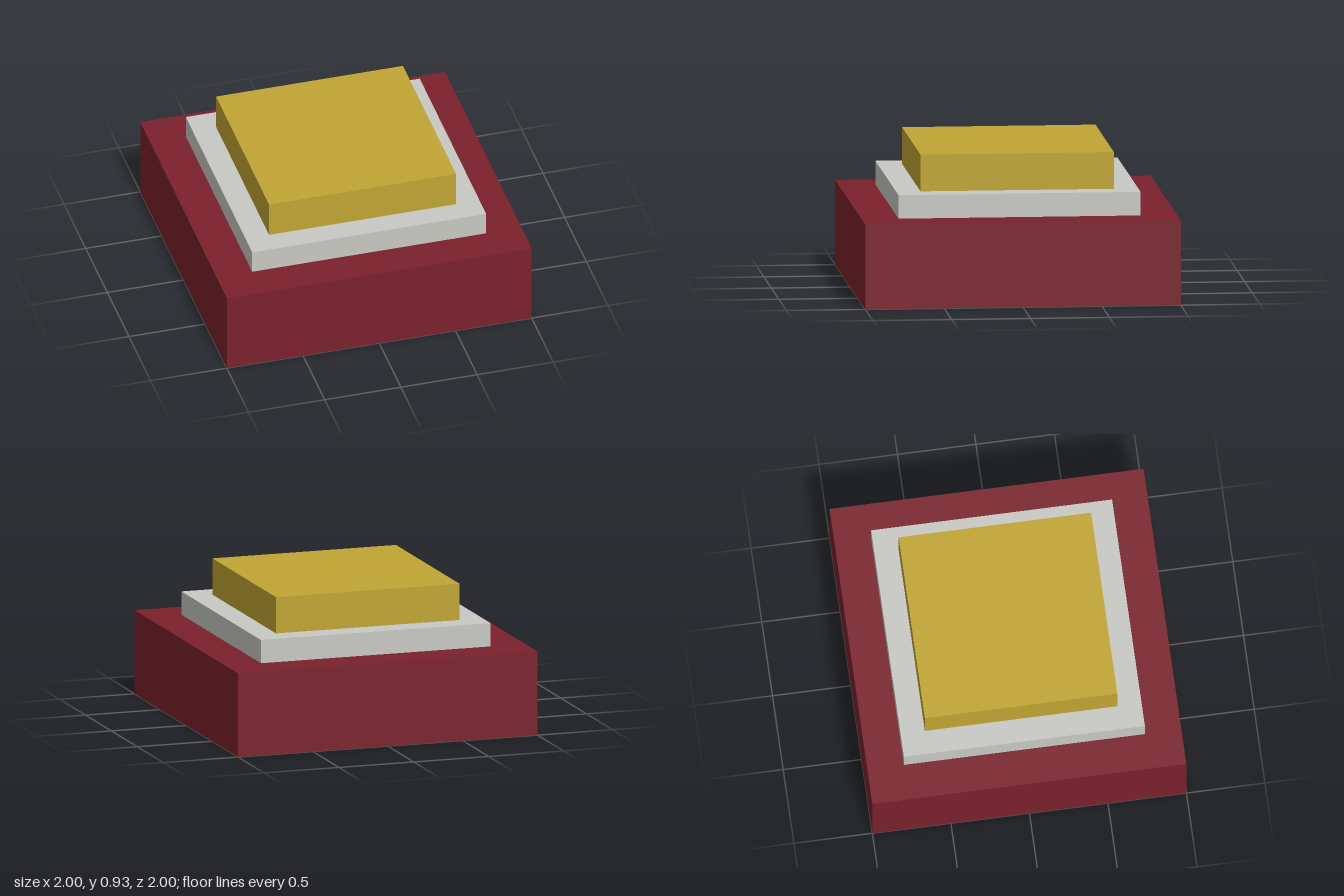
import * as THREE from 'three';

const mat = (name, color, side = THREE.FrontSide) => {
  const m = new THREE.MeshStandardMaterial({ color, side });
  m.name = name;
  return m;
};

// Square slab between two heights
function slab(name, size, y0, y1, material) {
  const geo = new THREE.BoxGeometry(size, y1 - y0, size);
  geo.translate(0, (y0 + y1) / 2, 0);
  const mesh = new THREE.Mesh(geo, material);
  mesh.name = name;
  return mesh;
}

export function createModel() {
  const group = new THREE.Group();
  group.name = 'steppedButton';

  // Hollow base: thin walls and top, open underneath
  const base = slab('base', 2, 0, 0.54, mat('dark red', 0x7a212c, THREE.DoubleSide));
  const index = Array.from(base.geometry.index.array);
  index.splice(18, 6); // remove the bottom face
  base.geometry.setIndex(index);
  base.geometry.clearGroups();

  // Middle plate sits a hair above the base top to avoid coplanar faces
  const plate = slab('middlePlate', 1.535, 0.542, 0.692, mat('light grey', 0xc8c8c3));

  // Top block
  const block = slab('topBlock', 1.226, 0.692, 0.926, mat('mustard yellow', 0xc0a533));

  group.add(base, plate, block);
  return group;
}
